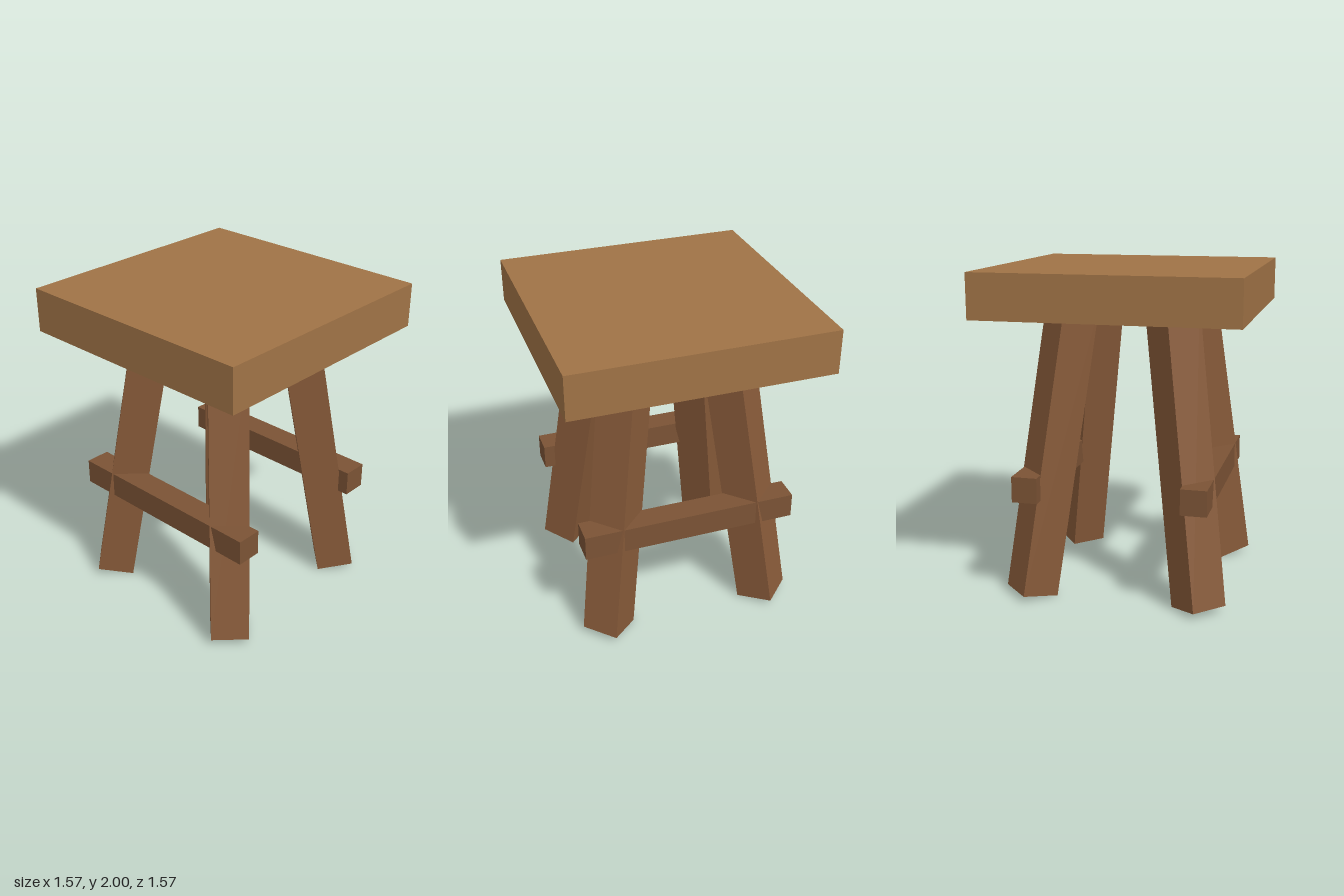
import * as THREE from 'three';

const paint = (name, color) => {
  const material = new THREE.MeshStandardMaterial({ color });
  material.name = name;
  return material;
};

export function createModel() {
  const seatWood = paint('light oak', 0xa07346);
  const legWood = paint('walnut', 0x875a39);
  const barWood = paint('dark walnut', 0x7b5335);

  const stool = new THREE.Group();
  stool.name = 'stool';

  const addBox = (name, size, material, parent) => {
    const mesh = new THREE.Mesh(new THREE.BoxGeometry(...size), material);
    mesh.name = name;
    parent.add(mesh);
    return mesh;
  };

  // Thick square seat
  addBox('seat', [1.565, 0.27, 1.565], seatWood, stool).position.y = 1.865;

  // Four square legs, turned to the diagonals and splayed outward by ten degrees
  const splay = THREE.MathUtils.degToRad(10);
  const length = 1.82;
  for (let i = 0; i < 4; i++) {
    const corner = new THREE.Group();
    corner.name = 'legCorner';
    corner.rotation.y = Math.PI / 4 + (i * Math.PI) / 2;
    stool.add(corner);
    const leg = addBox('leg', [0.233, length, 0.233], legWood, corner);
    leg.rotation.x = -splay;
    // Foot centre sits just above the floor, resting on the inner edge
    leg.position.set(
      0,
      0.0205 + (Math.cos(splay) * length) / 2,
      0.74 - (Math.sin(splay) * length) / 2
    );
  }

  // Front and back stretchers running through the legs
  for (const side of [1, -1]) {
    const bar = addBox('stretcher', [1.33, 0.157, 0.157], barWood, stool);
    bar.position.set(0, 0.71, 0.51 * side);
  }

  return stool;
}
